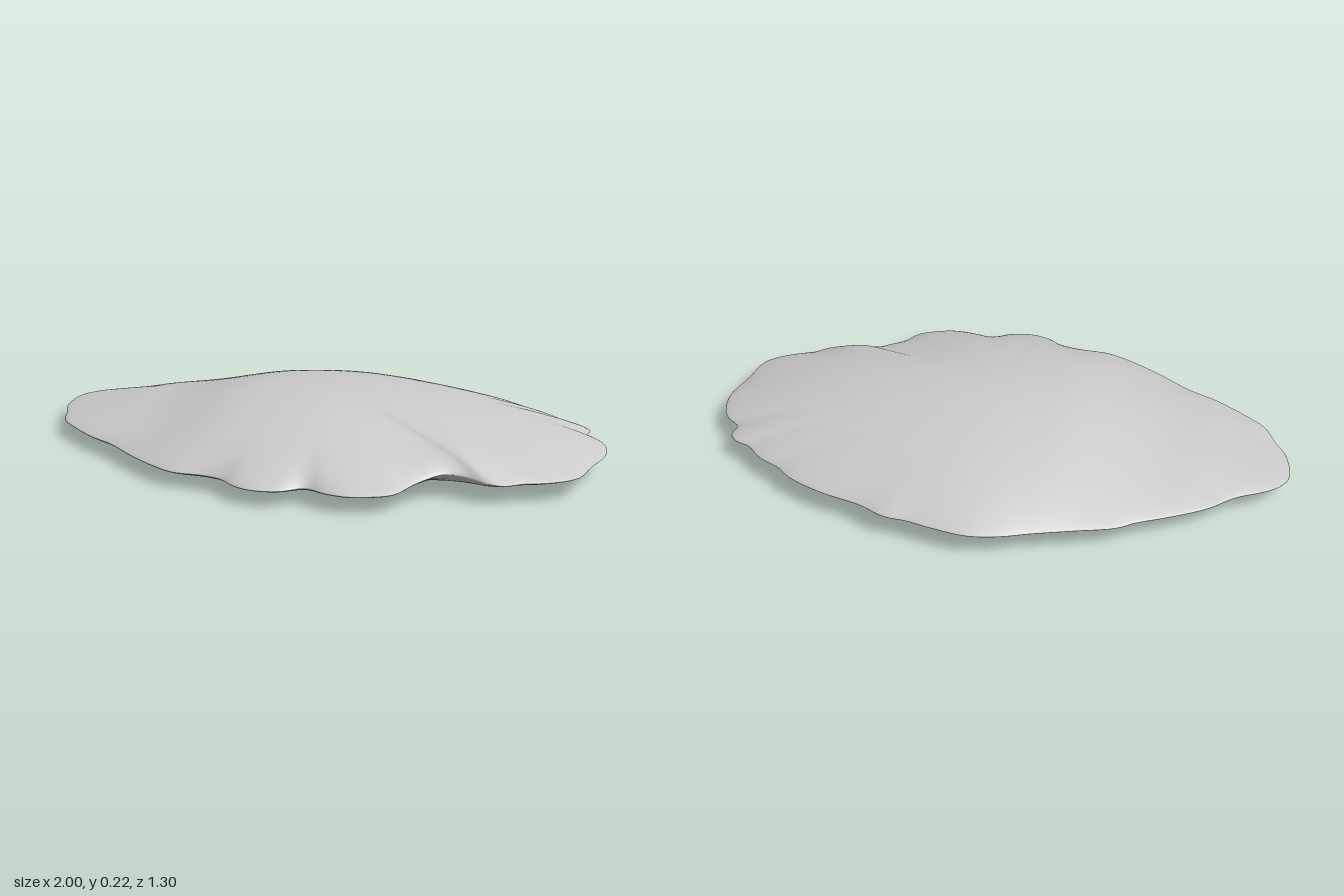
import * as THREE from 'three';

// Outline seen from above as x, z pairs, from the back round by the left side
const OUTLINE = [
  0, -0.65, 0.12, -0.63, 0.2, -0.61, 0.28, -0.6, 0.37, -0.555, 0.52, -0.51, 0.64, -0.45, 0.69, -0.405,
  0.77, -0.36, 0.83, -0.3, 0.88, -0.28, 0.91, -0.24, 0.905, -0.19, 0.95, -0.15, 0.98, -0.1, 0.997, 0,
  0.97, 0.13, 0.95, 0.24, 0.92, 0.28, 0.86, 0.32, 0.79, 0.35, 0.74, 0.39, 0.69, 0.395, 0.62, 0.38,
  0.55, 0.39, 0.51, 0.43, 0.47, 0.48, 0.43, 0.56, 0.37, 0.595, 0.3, 0.615, 0.22, 0.605, 0.15, 0.58,
  0.08, 0.63, 0, 0.645, -0.07, 0.625, -0.14, 0.575, -0.21, 0.56, -0.31, 0.56, -0.4, 0.52, -0.51, 0.45,
  -0.63, 0.36, -0.74, 0.3, -0.87, 0.2, -0.91, 0.16, -0.95, 0.07, -0.985, 0, -1, -0.13, -0.97, -0.19,
  -0.92, -0.23, -0.83, -0.28, -0.74, -0.36, -0.62, -0.43, -0.52, -0.48, -0.46, -0.52, -0.33, -0.56,
  -0.2, -0.6, -0.1, -0.635,
];

// Smoothly interpolated table of [x, value] pairs
function profile(table, x) {
  if (x <= table[0][0]) return table[0][1];
  for (let i = 1; i < table.length; i++) {
    const [x0, v0] = table[i - 1], [x1, v1] = table[i];
    if (x <= x1) return THREE.MathUtils.lerp(v0, v1, THREE.MathUtils.smoothstep(x, x0, x1));
  }
  return table[table.length - 1][1];
}

// Dome strength and belly depth from right (-x) to left (+x)
const DOME = [[-0.9, 0.52], [-0.65, 0.62], [-0.2, 1], [1, 1]];
const BELLY = [[-0.85, 0.062], [-0.6, 0.057], [-0.2, 0.036], [0.2, 0.027], [0.45, 0.05], [0.85, 0.045]];

const rimHeight = (x, z) =>
  0.07 + 0.008 * x - 0.018 * z + 0.022 * Math.exp(-((x - 0.55) ** 2 + (z - 0.4) ** 2) / 0.015);

function shellGeometry(around = 240, rings = 64) {
  const pts = [];
  for (let i = 0; i < OUTLINE.length; i += 2) pts.push(new THREE.Vector3(OUTLINE[i], 0, OUTLINE[i + 1]));
  const edge = new THREE.CatmullRomCurve3(pts, true).getSpacedPoints(around).slice(0, around);

  // Averaged radius keeps the middle smooth while the rim stays ragged
  const radius = edge.map(p => p.length());
  const smooth = radius.map((_, j) => {
    let sum = 0;
    for (let k = -10; k <= 10; k++) sum += radius[(j + k + around) % around];
    return sum / 21;
  });

  const position = [], index = [];
  for (let i = 0; i <= rings; i++) {
    // Rings run from the crown over the rim to the middle of the belly
    const s = Math.PI * i / rings;
    const t = i === rings ? 0 : Math.sin(s), top = i <= rings / 2;
    const lip = 0.011 * Math.sqrt(Math.max(0, 1 - t ** 8));
    for (let j = 0; j < around; j++) {
      const r = t * THREE.MathUtils.lerp(smooth[j] / radius[j], 1, t ** 5);
      const x = edge[j].x * r, z = edge[j].z * r;
      const y = rimHeight(x, z) + (top
        ? lip + 0.147 * profile(DOME, x) * (1 - t * t)
        : -lip - profile(BELLY, x) * (1 - t ** 4));
      position.push(x, y, z);
      if (i === rings) continue;
      const a = i * around + j, b = i * around + (j + 1) % around;
      const c = a + around, d = b + around;
      if (i > 0) index.push(a, b, d);
      if (i < rings - 1 || t === 0) index.push(a, d, c);
      else index.push(a, b, c);
    }
  }
  const g = new THREE.BufferGeometry();
  g.setAttribute('position', new THREE.Float32BufferAttribute(position, 3));
  g.setIndex(index);
  g.computeVertexNormals();

  // Flat normals at the two poles, then stand the shell on the ground
  const n = g.attributes.normal;
  for (let j = 0; j < around; j++) {
    n.setXYZ(j, 0, 1, 0);
    n.setXYZ(rings * around + j, 0, -1, 0);
  }
  g.computeBoundingBox();
  g.translate(0, -g.boundingBox.min.y, 0);
  return g;
}

export function createModel() {
  const group = new THREE.Group();
  group.name = 'flatShell';
  const material = new THREE.MeshStandardMaterial({ color: 0xcccccc, side: THREE.DoubleSide });
  const shell = new THREE.Mesh(shellGeometry(), material);
  shell.name = 'shell';
  group.add(shell);
  return group;
}
